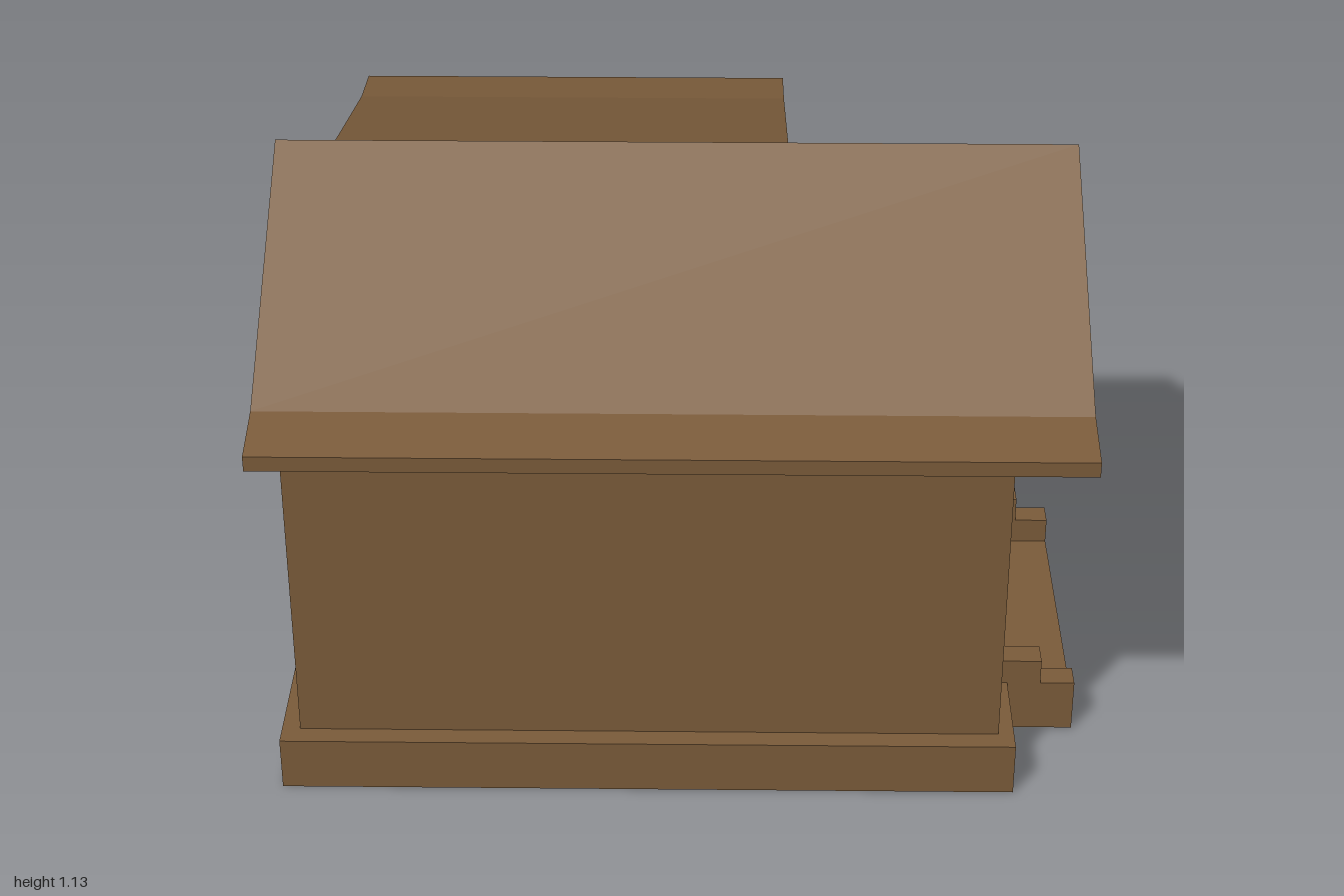
import * as THREE from 'three';

const wood = new THREE.MeshStandardMaterial({ color: 0x7a5b3a });
wood.name = 'brown wood';
const amber = new THREE.MeshStandardMaterial({ color: 0x98652e });
amber.name = 'amber wood';

const toShape = (pts) => new THREE.Shape(pts.map(([a, b]) => new THREE.Vector2(a, b)));

function addMesh(parent, name, geometry, material) {
  const mesh = new THREE.Mesh(geometry, material);
  mesh.name = name;
  parent.add(mesh);
  return mesh;
}

// Extrudes a (z, y) side profile along x from x0 to x1
function sideProfile(pts, x0, x1) {
  const g = new THREE.ExtrudeGeometry(toShape(pts), { depth: x1 - x0, bevelEnabled: false });
  return g.rotateY(-Math.PI / 2).translate(x1, 0, 0);
}

// Roof sheet: upper line plus the same line lowered by the thickness
function roofProfile(top, t) {
  return [...top, ...top.slice().reverse().map(([z, y]) => [z, y - t])];
}

// Outline of a faceted arch standing on y = 0
function archPoints(half, height, shoulder, bend, inset = 0) {
  const w = half - inset;
  const k = w / half;
  return [
    [-w, inset], [w, inset], [w, shoulder - inset * 0.4], [bend * k, height - (height - shoulder) * 0.27 - inset],
    [0, height - inset], [-bend * k, height - (height - shoulder) * 0.27 - inset], [-w, shoulder - inset * 0.4],
  ];
}

// Frame with a recessed panel, facing +z
function archOpening(name, half, height, shoulder, bend, rim, depth) {
  const group = new THREE.Group();
  group.name = name;
  const frame = toShape(archPoints(half, height, shoulder, bend));
  const inner = archPoints(half, height, shoulder, bend, rim);
  frame.holes.push(toShape(inner));
  addMesh(group, name + 'Frame', new THREE.ExtrudeGeometry(frame, { depth, bevelEnabled: false }), amber);
  const panel = new THREE.ShapeGeometry(toShape(inner)).translate(0, 0, 0.006);
  addMesh(group, name + 'Panel', panel, amber);
  return group;
}

export function createModel() {
  const house = new THREE.Group();
  house.name = 'house';

  // L-shaped plinth, drawn as (x, -z)
  const plan = [[-0.765, -0.925], [0.64, -0.925], [0.64, 0.12], [0.18, 0.12], [0.18, 0.89], [-0.765, 0.89]];
  const plinth = new THREE.ExtrudeGeometry(toShape(plan), { depth: 0.108, bevelEnabled: false });
  addMesh(house, 'plinth', plinth.rotateX(-Math.PI / 2), wood);

  // Walls
  addMesh(house, 'mainWalls', sideProfile(
    [[0.885, 0.1], [0.885, 0.795], [0.4, 1.105], [-0.08, 0.795], [-0.08, 0.1]].reverse(), -0.73, 0.61), wood);
  addMesh(house, 'wingWalls', sideProfile(
    [[-0.08, 0.1], [-0.08, 0.795], [-0.85, 0.61], [-0.85, 0.1]], -0.73, 0.145), wood);

  // Roofs with flared eaves
  const mainTop = [[1, 0.795], [0.885, 0.82], [0.4, 1.128], [-0.083, 0.82]];
  const wingTop = [[-0.08, 0.82], [-0.85, 0.633], [-1, 0.617]];
  addMesh(house, 'mainRoof', sideProfile(roofProfile(mainTop, 0.03), -0.775, 0.748), wood);
  addMesh(house, 'wingRoof', sideProfile(roofProfile(wingTop, 0.028), -0.775, 0.218), wood);

  // Entrance step between two stepped cheeks
  const step = new THREE.BoxGeometry(0.14, 0.055, 0.53).translate(0.702, 0.0275, 0.405);
  addMesh(house, 'entranceStep', step, wood);
  const cheek = [[0.61, 0], [0.772, 0], [0.772, 0.108], [0.705, 0.108], [0.705, 0.16], [0.61, 0.16]];
  for (const z of [0.09, 0.67]) {
    const g = new THREE.ExtrudeGeometry(toShape(cheek), { depth: 0.05, bevelEnabled: false });
    addMesh(house, 'stepCheek', g.translate(0, 0, z), wood);
  }

  // Door in the gable end
  const door = archOpening('door', 0.183, 0.402, 0.26, 0.135, 0.022, 0.027);
  door.position.set(0.61, 0.108, 0.4);
  door.rotation.y = Math.PI / 2;
  house.add(door);

  // Wing windows: one on the side, two at the back
  const windows = [[0.145, -0.45, Math.PI / 2], [-0.05, -0.85, Math.PI], [-0.53, -0.85, Math.PI]];
  for (const [x, z, turn] of windows) {
    const w = archOpening('window', 0.075, 0.23, 0.165, 0.05, 0.013, 0.02);
    w.position.set(x, 0.25, z);
    w.rotation.y = turn;
    house.add(w);
  }

  return house;
}
